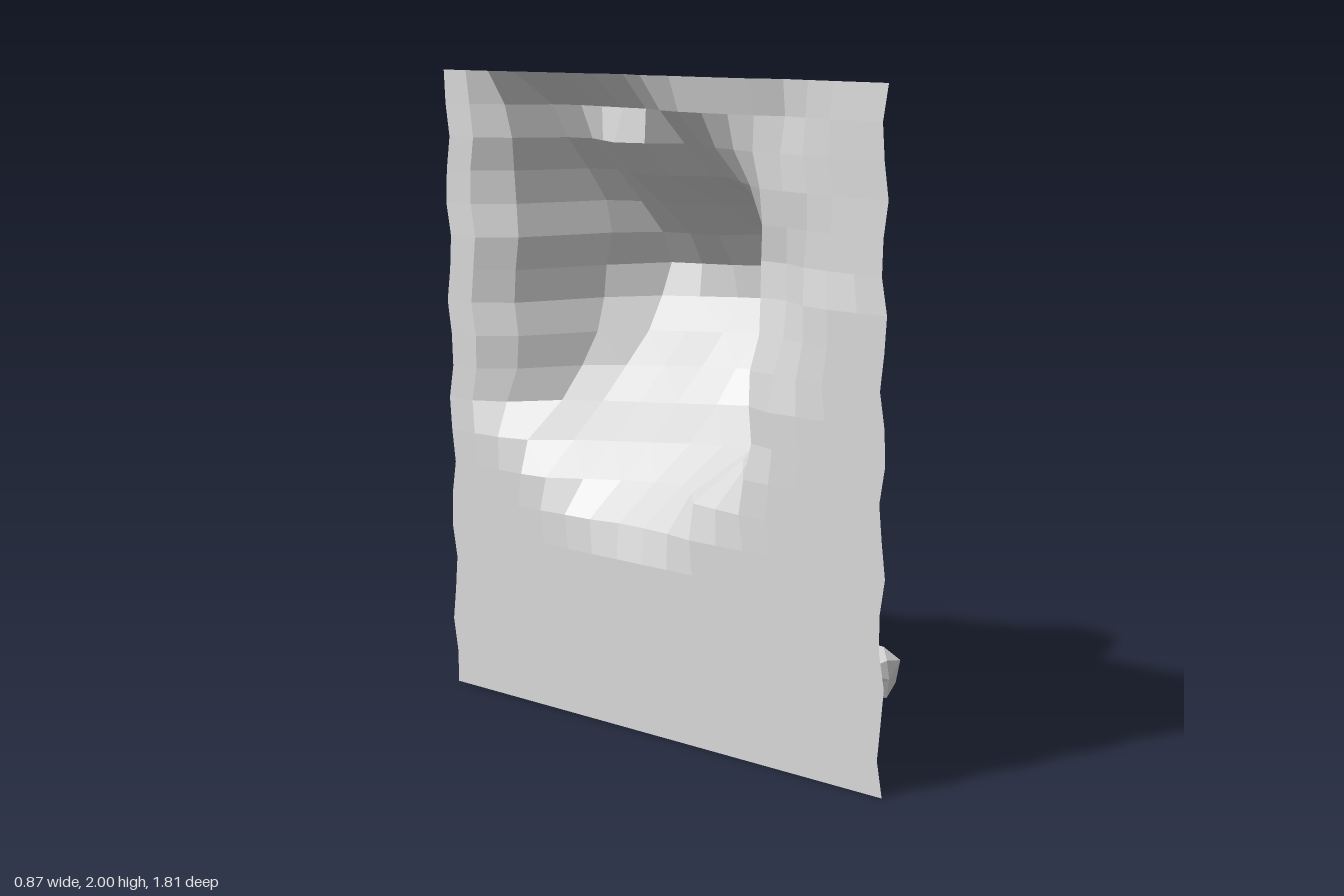
import * as THREE from 'three';

const WALL_X = -0.44;
// depth of the outcrop above the wall: one row per height, one entry per key z
const KEY_Z = [0.9, 0.62, 0.48, 0.375, 0.16, 0.055, -0.05, -0.155, -0.265, -0.475, -0.58, -0.69, -0.8];
const ROWS = [ // from the top edge downwards, the rest of the wall is flat
  [0.05, 0.02, 0.02, 0.03, 0.02, 0.06, 0.03, 0.02, 0.01, 0],
  [0.07, 0.05, 0.05, 0.06, 0.09, 0.14, 0.15, 0.18, 0.16, 0.05],
  [0.06, 0.06, 0.13, 0.18, 0.22, 0.15, 0.12, 0.23, 0.22, 0.07],
  [0.05, 0.07, 0.23, 0.31, 0.34, 0.27, 0.25, 0.36, 0.33, 0.09],
  [0.07, 0.07, 0.42, 0.53, 0.59, 0.50, 0.42, 0.45, 0.40, 0.09],
  [0.09, 0.08, 0.67, 0.74, 0.75, 0.70, 0.58, 0.54, 0.41, 0.08],
  [0.08, 0.07, 0.63, 0.72, 0.75, 0.73, 0.67, 0.60, 0.40, 0.08],
  [0.05, 0.05, 0.54, 0.70, 0.76, 0.73, 0.68, 0.55, 0.39, 0.08],
  [0.03, 0.03, 0.47, 0.71, 0.74, 0.68, 0.60, 0.47, 0.34, 0.08],
  [0, 0.03, 0.45, 0.62, 0.60, 0.57, 0.52, 0.38, 0.28, 0.08],
  [0, 0.02, 0.41, 0.57, 0.53, 0.47, 0.40, 0.28, 0.20, 0.05],
  [0, 0, 0.23, 0.38, 0.37, 0.33, 0.26, 0.13, 0.03, 0],
  [0, 0, 0.03, 0.13, 0.20, 0.19, 0.14, 0.01, 0, 0],
  [0, 0, 0, 0.02, 0.03, 0.03, 0.01, 0, 0, 0],
];

// depth at a grid row, linear between the key columns
function depthAt(row, z) {
  if (row >= ROWS.length) return 0;
  const d = [0, row < 6 ? 0.025 : 0, ...ROWS[row], 0];
  for (let i = 0; i < KEY_Z.length - 1; i++) {
    if (z <= KEY_Z[i] && z >= KEY_Z[i + 1]) {
      return THREE.MathUtils.mapLinear(z, KEY_Z[i], KEY_Z[i + 1], d[i], d[i + 1]);
    }
  }
  return 0;
}

// rock sheet with a hollow outcrop pushed out of it, each four-sided cell shaded flat
function cliffGeometry() {
  const cols = 17, rows = 19;
  const sheet = new THREE.PlaneGeometry(1.79, 2, cols, rows);
  const p = sheet.attributes.position;
  for (let i = 0; i < p.count; i++) {
    const row = Math.floor(i / (cols + 1));
    const z = -p.getX(i), y = p.getY(i) + 1;
    const wobble = 0.012 * Math.sin(row * 1.9 + z * 2.5);
    p.setXYZ(i, WALL_X + depthAt(row, z), y, z + wobble);
  }
  const geo = sheet.toNonIndexed();
  geo.computeVertexNormals();
  const n = geo.attributes.normal;
  const a = new THREE.Vector3(), b = new THREE.Vector3();
  for (let i = 0; i < n.count; i += 6) {
    a.fromBufferAttribute(n, i).add(b.fromBufferAttribute(n, i + 3)).normalize();
    for (let k = 0; k < 6; k++) n.setXYZ(i + k, a.x, a.y, a.z);
  }
  return geo;
}

// lumpy boulder fitted into a box of the given size; taper narrows its far end
function boulderGeometry(size, seed, lump, taper) {
  const geo = new THREE.IcosahedronGeometry(1, 1);
  const p = geo.attributes.position;
  const v = new THREE.Vector3();
  for (let i = 0; i < p.count; i++) {
    v.fromBufferAttribute(p, i);
    const bump = 1 + lump * (Math.sin(v.x * 5 + seed) + Math.sin(v.y * 6 + v.z * 4 + seed * 2));
    const [x, y, z] = v.toArray().map((c) => bump * Math.sign(c) * Math.abs(c) ** 0.7);
    p.setXYZ(i, x * (1 + taper * z), y, z);
  }
  geo.center();
  const box = geo.boundingBox.getSize(new THREE.Vector3());
  geo.scale(size[0] / box.x, size[1] / box.y, size[2] / box.z);
  geo.computeVertexNormals();
  return geo;
}

export function createModel() {
  const group = new THREE.Group();
  const stone = new THREE.MeshStandardMaterial({ color: 0xd9d9d9, side: THREE.DoubleSide });
  stone.name = 'stone';

  function add(name, geometry, position) {
    const mesh = new THREE.Mesh(geometry, stone);
    mesh.name = name;
    mesh.position.set(...position);
    group.add(mesh);
  }

  add('cliffWall', cliffGeometry(), [0, 0, 0]);
  add('largeBoulder', boulderGeometry([0.28, 0.19, 0.43], 1, 0.07, 0.2), [0.2, 0.115, 0.195]);
  add('smallBoulder', boulderGeometry([0.18, 0.14, 0.22], 4, 0.12, -0.15), [0.34, 0.1, -0.25]);
  return group;
}
